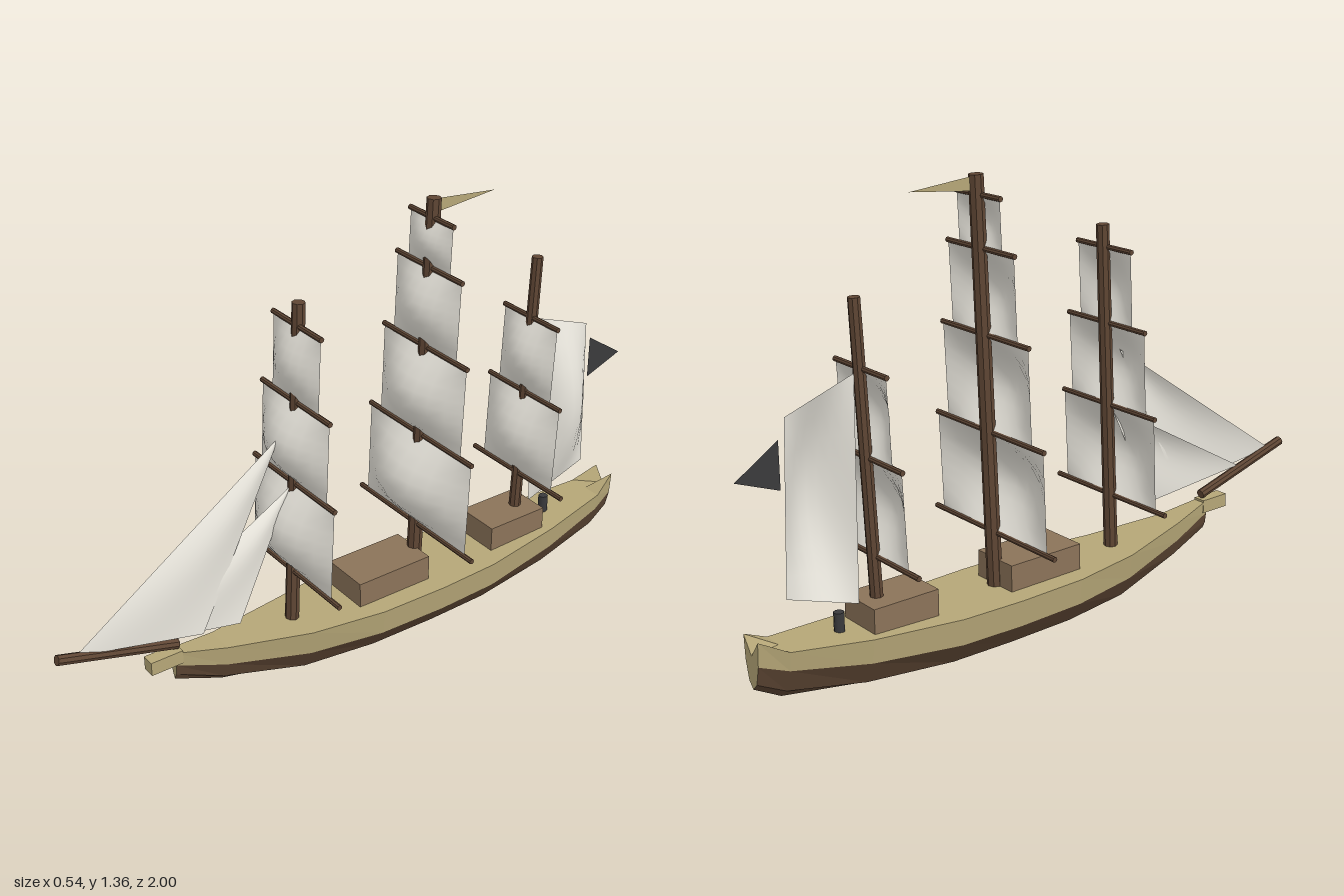
import * as THREE from 'three';

const mat = (color, extra = {}) => new THREE.MeshStandardMaterial({ color, ...extra });
const wood = mat(0x5f4634, { flatShading: true });
const hullBrown = mat(0x5c4533, { flatShading: true, side: THREE.DoubleSide });
const tan = mat(0xb5a677, { flatShading: true, side: THREE.DoubleSide });
const cabin = mat(0x8b7359, { flatShading: true });
const dark = mat(0x3a3a3c, { side: THREE.DoubleSide });
const canvas = mat(0xe8e5dc, { side: THREE.DoubleSide });

function add(parent, name, geometry, material) {
  const mesh = new THREE.Mesh(geometry, material);
  mesh.name = name;
  parent.add(mesh);
  return mesh;
}

// Skin a grid of points: rows[i][j] = [x, y, z]
function skin(rows, smooth = false) {
  const n = rows[0].length, index = [];
  for (let i = 0; i < rows.length - 1; i++)
    for (let j = 0; j < n - 1; j++) {
      const a = i * n + j, b = a + n;
      index.push(a, b, a + 1, b, b + 1, a + 1);
    }
  let g = new THREE.BufferGeometry();
  g.setAttribute('position', new THREE.Float32BufferAttribute(rows.flat(2), 3));
  g.setIndex(index);
  if (!smooth) g = g.toNonIndexed();
  g.computeVertexNormals();
  return g;
}

// Round spar between two points
function spar(parent, name, from, to, r0, r1 = r0) {
  const a = new THREE.Vector3(...from), b = new THREE.Vector3(...to);
  const dir = b.clone().sub(a);
  const mesh = add(parent, name, new THREE.CylinderGeometry(r1, r0, dir.length(), 8), wood);
  mesh.position.copy(a).add(b).multiplyScalar(0.5);
  mesh.quaternion.setFromUnitVectors(new THREE.Vector3(0, 1, 0), dir.normalize());
}

function box(parent, name, w, y0, y1, z0, z1, material) {
  add(parent, name, new THREE.BoxGeometry(w, y1 - y0, z1 - z0), material)
    .position.set(0, (y0 + y1) / 2, (z0 + z1) / 2);
}

// Four-cornered cloth with a belly given as an offset vector (repeat a corner for a triangle)
function cloth(parent, name, [a, b, c, d], belly, n = 8) {
  const [A, B, C, D] = [a, b, c, d].map(p => new THREE.Vector3(...p));
  const off = new THREE.Vector3(...belly), rows = [];
  for (let i = 0; i <= n; i++) {
    const v = i / n, row = [];
    for (let j = 0; j <= n; j++) {
      const u = j / n;
      const p = A.clone().lerp(B, u).lerp(D.clone().lerp(C, u), v);
      p.addScaledVector(off, Math.sin(Math.PI * u) * Math.sin(Math.PI * v));
      row.push(p.toArray());
    }
    rows.push(row);
  }
  add(parent, name, skin(rows, true), canvas);
}

function flag(parent, name, points, material) {
  const g = new THREE.BufferGeometry();
  g.setAttribute('position', new THREE.Float32BufferAttribute(points.flat(), 3));
  g.computeVertexNormals();
  add(parent, name, g, material);
}

function buildHull(parent) {
  // z, rail x/y, wale x/y, bilge x/y, keel y
  const stations = [
    [0.65, 0.016, 0.232, 0.013, 0.188, 0.009, 0.155, 0.135],
    [0.50, 0.045, 0.203, 0.038, 0.140, 0.022, 0.090, 0.070],
    [0.25, 0.103, 0.180, 0.092, 0.102, 0.055, 0.035, 0.010],
    [0.02, 0.139, 0.178, 0.130, 0.098, 0.082, 0.030, 0.005],
    [-0.20, 0.143, 0.177, 0.134, 0.096, 0.085, 0.029, 0.004],
    [-0.40, 0.135, 0.177, 0.126, 0.096, 0.080, 0.029, 0.005],
    [-0.67, 0.098, 0.186, 0.090, 0.114, 0.056, 0.046, 0.020],
    [-0.90, 0.060, 0.208, 0.053, 0.152, 0.032, 0.087, 0.060],
    [-0.98, 0.036, 0.250, 0.032, 0.180, 0.019, 0.125, 0.105],
  ];
  const bottom = [], deck = [], left = [], right = [];
  for (const [z, rx, ry, wx, wy, bx, by, ky] of stations) {
    bottom.push([[-wx, wy, z], [-bx, by, z], [0, ky, z], [bx, by, z], [wx, wy, z]]);
    right.push([[-rx, ry, z], [-wx, wy, z]]);
    left.push([[wx, wy, z], [rx, ry, z]]);
    deck.push([[rx, ry, z], [0, z < -0.95 ? 0.2 : ry, z], [-rx, ry, z]]);
  }
  add(parent, 'lowerHull', skin(bottom), hullBrown);
  add(parent, 'leftTopside', skin(left), tan);
  add(parent, 'rightTopside', skin(right), tan);
  add(parent, 'deck', skin(deck), tan);
  // Closing faces of stern and bow
  const endFace = ([z, rx, ry, wx, wy, bx, by, ky], topY) => [
    [[-rx, ry, z], [-wx, wy, z], [-bx, by, z], [0, ky, z]],
    [[0, topY, z], [0, wy, z], [0, by, z], [0, ky, z]],
    [[rx, ry, z], [wx, wy, z], [bx, by, z], [0, ky, z]],
  ];
  add(parent, 'transom', skin(endFace(stations.at(-1), 0.2)), tan);
  add(parent, 'stemFace', skin(endFace(stations[0], 0.232).reverse()), tan);
  box(parent, 'beakhead', 0.04, 0.193, 0.235, 0.63, 0.73, tan);
}

// Mast with its yards (height, half length) and bellied square sails between them
function buildMast(parent, name, base, top, r, yards, bellies) {
  const group = new THREE.Group();
  group.name = name;
  parent.add(group);
  const zAt = y => base[1] + (top[1] - base[1]) * (y - base[0]) / (top[0] - base[0]);
  spar(group, 'mastPole', [0, base[0], base[1]], [0, top[0], top[1]], r * 1.05, r * 0.95);
  yards.forEach(([y, half], i) => {
    const z = zAt(y) + 0.004;
    spar(group, 'yard', [-half, y, z], [half, y, z], 0.008);
    if (i === yards.length - 1) return;
    const y1 = yards[i + 1][0], z1 = zAt(y1) + 0.004, w = half - 0.004;
    cloth(group, 'squareSail',
      [[-w, y - 0.006, z], [w, y - 0.006, z], [w, y1 + 0.008, z1], [-w, y1 + 0.008, z1]],
      [0, 0, bellies[i]]);
  });
}

export function createModel() {
  const ship = new THREE.Group();
  ship.name = 'sailingShip';
  buildHull(ship);

  // Deck fittings
  box(ship, 'mainDeckhouse', 0.154, 0.165, 0.257, -0.19, 0.065, cabin);
  box(ship, 'aftDeckhouse', 0.144, 0.165, 0.257, -0.65, -0.44, cabin);
  add(ship, 'helmPost', new THREE.CylinderGeometry(0.015, 0.015, 0.065, 8), dark)
    .position.set(0, 0.213, -0.715);
  spar(ship, 'bowsprit', [0, 0.25, 0.635], [0, 0.352, 0.994], 0.015);

  // Masts with square sails
  buildMast(ship, 'foreMast', [0.17, 0.255], [1.17, 0.208], 0.02,
    [[1.105, 0.115], [0.88, 0.165], [0.63, 0.2], [0.345, 0.237]], [0.045, 0.068, 0.08]);
  buildMast(ship, 'mainMast', [0.17, -0.19], [1.36, -0.24], 0.022,
    [[1.305, 0.097], [1.16, 0.147], [0.92, 0.192], [0.64, 0.24], [0.34, 0.27]],
    [0.03, 0.058, 0.08, 0.093]);
  buildMast(ship, 'mizzenMast', [0.17, -0.59], [1.09, -0.632], 0.018,
    [[0.9, 0.12], [0.655, 0.162], [0.375, 0.205]], [0.055, 0.068]);

  // Fore-and-aft sails
  cloth(ship, 'outerJib',
    [[0, 0.79, 0.28], [0, 0.79, 0.28], [0.035, 0.275, 0.57], [0, 0.34, 0.94]], [0.02, 0, 0]);
  cloth(ship, 'innerJib',
    [[0, 0.62, 0.25], [0, 0.62, 0.25], [0.035, 0.26, 0.45], [0, 0.31, 0.8]], [0.02, 0, 0]);
  cloth(ship, 'spanker',
    [[0, 0.89, -0.64], [0, 0.815, -0.85], [0, 0.325, -0.87], [0, 0.25, -0.65]], [0.075, 0, 0]);

  // Flags
  flag(ship, 'sternFlag', [[0, 0.76, -0.87], [0, 0.625, -0.87], [0, 0.675, -1]], dark);
  flag(ship, 'pennant', [[0, 1.355, -0.25], [0, 1.315, -0.25], [0, 1.335, -0.455]], tan);
  return ship;
}
